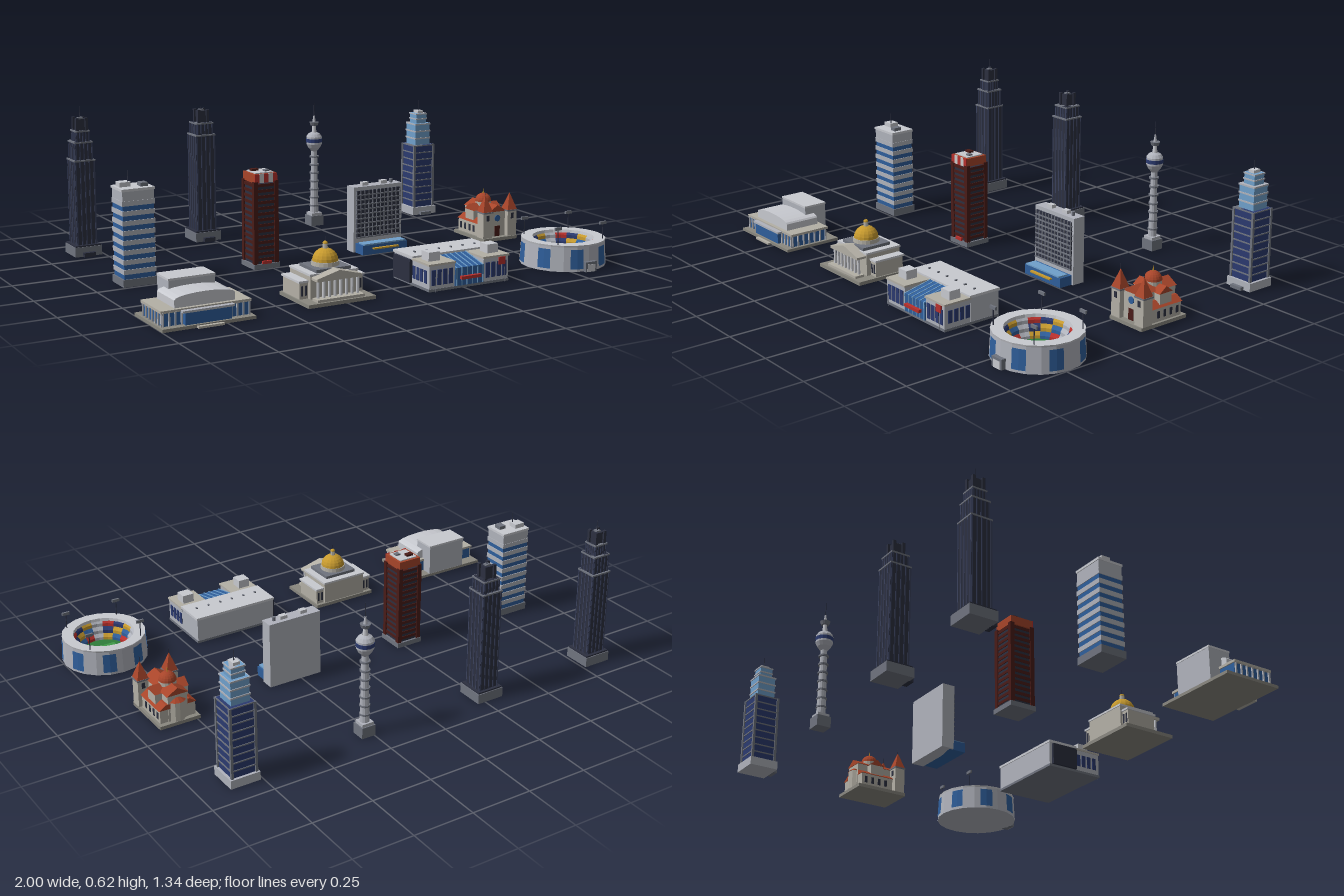
import * as THREE from 'three';

const C = { stone: 0xb4b0a6, grey: 0xb0b3bc, pale: 0xc8cad0, slate: 0x70747f, dark: 0x2c3040, navy: 0x2b3a70, blue: 0x2f5f9c, sky: 0x6fa0cc,
  brown: 0x4a1c18, rust: 0xa8452a, red: 0xb8302c, gold: 0xc79a2e, green: 0x2f7d3a, white: 0xe4e4e4, ground: 0x8a8880 };
const mats = {};
const mat = c => mats[c] ??= new THREE.MeshStandardMaterial({ color: c, flatShading: true, side: THREE.DoubleSide });

function add(g, name, geo, c, x = 0, y = 0, z = 0) {
  const m = new THREE.Mesh(geo, mat(c));
  m.name = name;
  m.position.set(x, y, z);
  g.add(m);
  return m;
}
// box standing on y0; cyl standing on y0
const box = (g, name, c, w, h, d, x = 0, y0 = 0, z = 0) => add(g, name, new THREE.BoxGeometry(w, h, d), c, x, y0 + h / 2, z);
const cyl = (g, name, c, rt, rb, h, x = 0, y0 = 0, z = 0, n = 12) => add(g, name, new THREE.CylinderGeometry(rt, rb, h, n), c, x, y0 + h / 2, z);
const dome = (g, name, c, r, x, y, z) => add(g, name, new THREE.SphereGeometry(r, 16, 6, 0, Math.PI * 2, 0, Math.PI / 2), c, x, y, z);
// outline in x,y extruded along z, centred on z
function prism(g, name, c, pts, depth, x, y, z) {
  const s = new THREE.Shape(pts.map(p => new THREE.Vector2(...p)));
  const geo = new THREE.ExtrudeGeometry(s, { depth, bevelEnabled: false }).translate(0, 0, -depth / 2);
  return add(g, name, geo, c, x, y, z);
}
// glazed storey block with projecting floor bands
function floors(g, glass, band, w, d, y0, y1, n, x = 0, z = 0, t = 0.3) {
  box(g, 'glazing', glass, w - 0.006, y1 - y0, d - 0.006, x, y0, z);
  const s = (y1 - y0) / n;
  for (let i = 0; i < n; i++) box(g, 'floorBand', band, w, s * t, d, x, y0 + s * (i + 1 - t), z);
}
// vertical fins on all four sides
function fins(g, c, w, y0, y1, n) {
  for (let i = 0; i < n; i++) {
    const p = (i / (n - 1) - 0.5) * (w - 0.006);
    box(g, 'fin', c, 0.005, y1 - y0, w + 0.004, p, y0);
    box(g, 'fin', c, w + 0.004, y1 - y0, 0.005, 0, y0, p);
  }
}

function steppedTower(g, c, finC, tiers, crown, mast) {
  box(g, 'base', C.slate, 0.117, 0.04, 0.117);
  box(g, 'baseCornice', C.dark, 0.11, 0.008, 0.11, 0, 0.038);
  box(g, 'entranceCanopy', C.dark, 0.05, 0.018, 0.02, 0, 0, 0.066);
  let y = 0.04;
  for (const [w, top] of tiers) {
    box(g, 'shaft', c, w, top - y, w, 0, y);
    fins(g, finC, w, y, top - 0.006, 5);
    box(g, 'parapet', C.slate, w + 0.006, 0.006, w + 0.006, 0, top - 0.006);
    y = top;
  }
  for (const x of [-1, 1]) for (const z of [-1, 1]) box(g, 'crownPost', C.dark, 0.012, crown - y, 0.012, x * 0.02, y, z * 0.02);
  box(g, 'crownCore', c, 0.036, crown - y - 0.006, 0.036, 0, y);
  box(g, 'crownCap', C.slate, 0.02, 0.012, 0.02, 0, crown - 0.012);
  cyl(g, 'mast', C.dark, 0.001, 0.002, mast - crown, 0, crown, 0, 6);
}

function tvTower(g) {
  box(g, 'base', C.slate, 0.06, 0.045, 0.06);
  box(g, 'baseRoof', C.grey, 0.05, 0.012, 0.05, 0, 0.045);
  cyl(g, 'shaft', C.grey, 0.013, 0.019, 0.3, 0, 0.05);
  for (let i = 0; i < 7; i++) cyl(g, 'shaftRing', C.slate, 0.021, 0.021, 0.007, 0, 0.085 + i * 0.037);
  const profile = [[0.013, 0.335], [0.027, 0.352], [0.035, 0.368], [0.035, 0.4], [0.026, 0.413], [0.012, 0.42]];
  add(g, 'pod', new THREE.LatheGeometry(profile.map(p => new THREE.Vector2(...p)), 14), C.grey);
  cyl(g, 'podWindows', C.navy, 0.036, 0.036, 0.016, 0, 0.376, 0, 14);
  cyl(g, 'upperShaft', C.pale, 0.007, 0.011, 0.045, 0, 0.415);
  cyl(g, 'upperDeck', C.slate, 0.021, 0.016, 0.015, 0, 0.45);
  cyl(g, 'spire', C.grey, 0.003, 0.008, 0.03, 0, 0.465);
  cyl(g, 'mast', C.dark, 0.001, 0.0025, 0.06, 0, 0.49, 0, 6);
}

function glassTower(g) {
  box(g, 'base', C.grey, 0.122, 0.035, 0.122);
  box(g, 'entranceCanopy', C.slate, 0.055, 0.014, 0.018, 0, 0, 0.068);
  floors(g, C.navy, C.slate, 0.106, 0.106, 0.035, 0.322, 9, 0, 0, 0.16);
  for (const x of [-1, 1]) for (const z of [-1, 1]) box(g, 'cornerPier', C.slate, 0.01, 0.287, 0.01, x * 0.05, 0.035, z * 0.05);
  floors(g, C.sky, C.grey, 0.082, 0.082, 0.322, 0.42, 3, 0, 0, 0.2);
  floors(g, C.sky, C.grey, 0.06, 0.06, 0.42, 0.465, 2, 0, 0, 0.25);
  box(g, 'roofBox', C.pale, 0.028, 0.012, 0.036, 0, 0.465);
  cyl(g, 'mast', C.dark, 0.001, 0.002, 0.045, 0, 0.475, 0, 6);
}

function bandedOffice(g) {
  box(g, 'base', C.slate, 0.14, 0.03, 0.112);
  floors(g, C.blue, C.grey, 0.134, 0.108, 0.03, 0.335, 8, 0, 0, 0.5);
  box(g, 'topFloors', C.grey, 0.13, 0.04, 0.104, 0, 0.335);
  box(g, 'roofEdge', C.pale, 0.136, 0.01, 0.11, 0, 0.372);
  box(g, 'plantRoom', C.pale, 0.045, 0.018, 0.04, -0.035, 0.382, -0.012);
  box(g, 'plantRoom', C.slate, 0.03, 0.014, 0.035, 0.035, 0.382, 0.012);
  cyl(g, 'mast', C.dark, 0.001, 0.002, 0.05, -0.02, 0.395, 0, 6);
}

function redTower(g) {
  box(g, 'base', C.slate, 0.116, 0.02, 0.116);
  floors(g, C.dark, C.brown, 0.104, 0.104, 0.02, 0.345, 14, 0, 0, 0.5);
  for (const x of [-1, 1]) for (const z of [-1, 1]) box(g, 'cornerPier', C.brown, 0.018, 0.335, 0.018, x * 0.046, 0.02, z * 0.046);
  box(g, 'entrance', C.red, 0.04, 0.012, 0.01, 0, 0.02, 0.056);
  box(g, 'crown', C.rust, 0.1, 0.035, 0.1, 0, 0.35);
  for (let i = 0; i < 5; i++) box(g, 'crownPanel', i % 2 ? C.white : C.red, 0.02, 0.036, 0.004, -0.04 + i * 0.02, 0.35, 0.052);
  box(g, 'roof', C.pale, 0.08, 0.004, 0.08, 0, 0.385);
  box(g, 'roofUnit', C.brown, 0.03, 0.01, 0.02, -0.018, 0.387, -0.015);
  box(g, 'roofUnit', C.slate, 0.02, 0.008, 0.02, 0.02, 0.387, 0.015);
}

function slabHotel(g) {
  box(g, 'podium', C.blue, 0.215, 0.04, 0.1, 0, 0, 0.008);
  box(g, 'podiumRoof', C.sky, 0.2, 0.006, 0.045, 0, 0.04, 0.036);
  box(g, 'canopy', C.gold, 0.12, 0.006, 0.02, 0, 0.022, 0.062);
  box(g, 'slab', C.grey, 0.232, 0.276, 0.055, 0, 0, -0.03);
  box(g, 'windowWall', C.dark, 0.212, 0.2, 0.012, 0, 0.06, -0.004);
  for (let i = 0; i < 10; i++) box(g, 'balcony', C.slate, 0.216, 0.005, 0.018, 0, 0.06 + i * 0.02, -0.002);
  for (let i = 0; i < 12; i++) box(g, 'mullion', C.slate, 0.004, 0.2, 0.016, -0.104 + i * 0.0189, 0.06, -0.003);
  for (const x of [-0.05, 0.04]) box(g, 'roofUnit', C.pale, 0.03, 0.014, 0.022, x, 0.276, -0.03);
  cyl(g, 'roofVent', C.slate, 0.007, 0.007, 0.016, 0.08, 0.276, -0.03);
}

function cathedral(g) {
  box(g, 'plinth', C.ground, 0.172, 0.014, 0.09, 0, 0, 0.07);
  box(g, 'rearPlinth', C.ground, 0.172, 0.014, 0.15, 0, 0, -0.04);
  box(g, 'aisles', C.stone, 0.15, 0.055, 0.15, 0, 0.014, -0.02);
  prism(g, 'aisleRoof', C.rust, [[-0.08, 0], [0.08, 0], [0.05, 0.02], [-0.05, 0.02]], 0.155, 0, 0.069, -0.02);
  box(g, 'nave', C.stone, 0.082, 0.11, 0.185, 0, 0.014, -0.005);
  prism(g, 'naveRoof', C.rust, [[-0.046, 0], [0.046, 0], [0, 0.028]], 0.19, 0, 0.122, -0.005);
  box(g, 'transept', C.stone, 0.14, 0.105, 0.06, 0, 0.014, -0.02);
  prism(g, 'transeptRoof', C.rust, [[-0.034, 0], [0.034, 0], [0, 0.026]], 0.144, 0, 0.118, -0.02).rotation.y = Math.PI / 2;
  cyl(g, 'apse', C.stone, 0.036, 0.036, 0.08, 0, 0.014, -0.08);
  cyl(g, 'apseRoof', C.rust, 0, 0.039, 0.03, 0, 0.094, -0.08);
  cyl(g, 'domeDrum', C.stone, 0.034, 0.034, 0.02, 0, 0.132, -0.02, 16);
  dome(g, 'dome', C.rust, 0.035, 0, 0.15, -0.02);
  cyl(g, 'domeFinial', C.gold, 0.001, 0.003, 0.02, 0, 0.183, -0.02, 6);
  for (const s of [-1, 1]) {
    box(g, 'tower', C.stone, 0.046, 0.11, 0.046, s * 0.063, 0.014, 0.086);
    box(g, 'towerCornice', C.slate, 0.052, 0.006, 0.052, s * 0.063, 0.122, 0.086);
    box(g, 'belfryWindow', C.dark, 0.014, 0.024, 0.05, s * 0.063, 0.09, 0.086);
    cyl(g, 'towerSpire', C.rust, 0, 0.034, 0.072, s * 0.063, 0.128, 0.086, 4).rotation.y = Math.PI / 4;
    cyl(g, 'spireFinial', C.dark, 0.001, 0.001, 0.022, s * 0.063, 0.198, 0.086, 5);
    for (let i = 0; i < 4; i++) box(g, 'aisleWindow', C.dark, 0.004, 0.028, 0.012, s * 0.075, 0.028, -0.075 + i * 0.032);
  }
  box(g, 'door', C.brown, 0.026, 0.045, 0.006, 0, 0.014, 0.087);
  cyl(g, 'roseWindow', C.blue, 0.014, 0.014, 0.006, 0, 0.09, 0.088).rotation.x = Math.PI / 2;
}

function concertHall(g) {
  box(g, 'plinth', C.ground, 0.364, 0.012, 0.25);
  box(g, 'frontSteps', C.stone, 0.1, 0.008, 0.02, 0, 0, 0.13);
  box(g, 'wings', C.blue, 0.336, 0.05, 0.17, 0, 0.012, 0.01);
  box(g, 'wingRoof', C.stone, 0.352, 0.01, 0.18, 0, 0.06, 0.01);
  for (let i = 0; i < 15; i++) box(g, 'column', C.grey, 0.006, 0.05, 0.008, -0.168 + i * 0.024, 0.012, 0.097);
  for (const s of [-1, 1]) for (let i = 0; i < 7; i++) box(g, 'sideColumn', C.grey, 0.008, 0.05, 0.006, s * 0.17, 0.012, -0.07 + i * 0.027);
  // shallow vaulted auditorium roof
  const arc = Array.from({ length: 11 }, (_, i) => [0.118 * Math.cos(i * Math.PI / 10), 0.03 + 0.02 * Math.sin(i * Math.PI / 10)]);
  prism(g, 'auditoriumVault', C.pale, [[-0.118, 0], [0.118, 0], ...arc], 0.15, 0, 0.068, 0.01);
  box(g, 'lobbyGlass', C.blue, 0.18, 0.045, 0.03, 0, 0.012, 0.1);
  box(g, 'lobbyRoof', C.grey, 0.2, 0.008, 0.04, 0, 0.057, 0.1);
  box(g, 'stageTower', C.grey, 0.182, 0.13, 0.1, 0, 0.012, -0.074);
  box(g, 'stageTowerRoof', C.pale, 0.186, 0.008, 0.104, 0, 0.14, -0.074);
}

function capitol(g) {
  box(g, 'plinth', C.ground, 0.284, 0.014, 0.23);
  box(g, 'wings', C.stone, 0.27, 0.062, 0.13, 0, 0.014, -0.035);
  box(g, 'wingCornice', C.pale, 0.28, 0.008, 0.14, 0, 0.076, -0.035);
  for (let i = 0; i < 16; i++) box(g, 'window', C.dark, 0.008, 0.038, 0.134, -0.125 + i * 0.01667, 0.026, -0.035);
  box(g, 'centralBlock', C.stone, 0.2, 0.09, 0.16, 0, 0.014, -0.03);
  box(g, 'centralCornice', C.pale, 0.206, 0.008, 0.166, 0, 0.102, -0.03);
  box(g, 'steps', C.stone, 0.2, 0.012, 0.04, 0, 0.012, 0.085);
  for (let i = 0; i < 8; i++) cyl(g, 'column', C.pale, 0.006, 0.006, 0.07, -0.084 + i * 0.024, 0.02, 0.078, 8);
  box(g, 'entablature', C.stone, 0.19, 0.01, 0.05, 0, 0.088, 0.067);
  prism(g, 'pediment', C.stone, [[-0.098, 0], [0.098, 0], [0, 0.026]], 0.05, 0, 0.098, 0.067);
  box(g, 'domePlinth', C.slate, 0.146, 0.012, 0.13, 0, 0.11, -0.018);
  cyl(g, 'domeDrum', C.stone, 0.052, 0.054, 0.018, 0, 0.12, -0.018, 20);
  dome(g, 'dome', C.gold, 0.05, 0, 0.136, -0.018);
  cyl(g, 'lantern', C.stone, 0.009, 0.011, 0.02, 0, 0.182, -0.018, 8);
  dome(g, 'lanternCap', C.gold, 0.01, 0, 0.202, -0.018);
  cyl(g, 'finial', C.dark, 0.001, 0.001, 0.02, 0, 0.21, -0.018, 5);
}

function station(g) {
  box(g, 'plinth', C.slate, 0.366, 0.01, 0.256);
  box(g, 'rearHall', C.grey, 0.362, 0.096, 0.134, 0, 0.01, -0.06);
  box(g, 'rearRoof', C.pale, 0.37, 0.01, 0.14, 0, 0.105, -0.06);
  box(g, 'sideScreen', C.dark, 0.014, 0.09, 0.12, -0.186, 0.01, -0.055);
  for (let i = 0; i < 6; i++) box(g, 'roofVent', C.slate, 0.006, 0.005, 0.01, -0.14 + i * 0.056, 0.115, -0.045);
  for (const s of [-1, 1]) {
    box(g, 'cornerBlock', C.grey, 0.115, 0.09, 0.118, s * 0.124, 0.01, 0.067);
    box(g, 'cornerRoof', C.stone, 0.122, 0.008, 0.124, s * 0.124, 0.1, 0.067);
    box(g, 'roofBox', C.pale, 0.05, 0.035, 0.05, s * 0.135, 0.108, 0.062);
    for (let i = 0; i < 4; i++) box(g, 'frontWindow', C.navy, 0.018, 0.06, 0.006, s * (0.085 + i * 0.026), 0.024, 0.126);
    for (let i = 0; i < 4; i++) box(g, 'sideWindow', C.navy, 0.006, 0.05, 0.018, s * 0.181, 0.03, 0.02 + i * 0.027);
    cyl(g, 'flagpole', C.slate, 0.001, 0.001, 0.06, s * 0.16, 0, 0.136, 5);
  }
  box(g, 'redPanel', C.red, 0.03, 0.03, 0.006, 0.15, 0.07, 0.129);
  // glazed atrium sloping down to the front
  prism(g, 'atrium', C.blue, [[-0.125, 0], [0.01, 0], [0.01, 0.1], [-0.125, 0.07]], 0.13, 0, 0.01, 0.005).rotation.y = Math.PI / 2;
  for (let i = 0; i < 6; i++) prism(g, 'atriumRib', C.sky, [[-0.127, 0], [0.01, 0], [0.01, 0.102], [-0.127, 0.072]], 0.004, -0.06 + i * 0.024, 0.01, 0.005).rotation.y = Math.PI / 2;
  box(g, 'entranceCanopy', C.red, 0.09, 0.012, 0.02, 0, 0.036, 0.135);
}

function stadium(g) {
  const ring = (name, c, pts, n = 20) => add(g, name, new THREE.LatheGeometry(pts.map(p => new THREE.Vector2(...p)), n), c);
  ring('outerWall', C.grey, [[0, 0], [0.174, 0], [0.168, 0.102]]);
  ring('roofRing', C.pale, [[0.168, 0.098], [0.17, 0.106], [0.124, 0.106], [0.122, 0.094]]);
  for (let i = 0; i < 8; i++) {
    const panel = new THREE.CylinderGeometry(0.1705, 0.175, 0.078, 2, 1, true, (i * 2.5 + 1) * Math.PI / 10, Math.PI / 10);
    add(g, 'glassPanel', panel, C.blue, 0, 0.05);
  }
  // three seating tiers in alternating coloured sectors
  const seats = [C.red, C.blue, C.gold, C.navy];
  for (let t = 0; t < 3; t++) for (let i = 0; i < 16; i++) {
    const r = 0.092 + t * 0.012, y = 0.02 + t * 0.026;
    const pts = [[r, y], [r + 0.001, y + 0.013], [r + 0.012, y + 0.026]].map(p => new THREE.Vector2(...p));
    add(g, 'seating', new THREE.LatheGeometry(pts, 2, i * Math.PI / 8, Math.PI / 8), i % 4 === 3 ? C.grey : seats[(i + t) % 4]);
  }
  cyl(g, 'field', C.green, 0.094, 0.094, 0.016, 0, 0.006, 0, 24);
  box(g, 'pitch', 0x3f9a48, 0.12, 0.003, 0.08, 0, 0.021);
  box(g, 'halfwayLine', C.white, 0.002, 0.001, 0.08, 0, 0.024);
  cyl(g, 'centreSpot', C.white, 0.008, 0.008, 0.001, 0, 0.024);
  box(g, 'gate', C.slate, 0.054, 0.04, 0.03, 0, 0, 0.172);
  box(g, 'gateDoor', C.pale, 0.036, 0.03, 0.004, 0, 0, 0.187);
  for (const x of [-1, 1]) for (const z of [-1, 1]) {
    cyl(g, 'lightMast', C.dark, 0.002, 0.002, 0.07, x * 0.112, 0.1, z * 0.112, 6);
    box(g, 'floodlight', C.slate, 0.032, 0.012, 0.008, x * 0.112, 0.166, z * 0.112);
  }
}

export function createModel() {
  const model = new THREE.Group();
  model.name = 'cityBuildings';
  const place = (name, x, z, build) => {
    const g = new THREE.Group();
    g.name = name;
    g.position.set(x, 0, z);
    build(g);
    model.add(g);
  };
  // back row: towers
  place('tallTower', -0.82, -0.61, g => steppedTower(g, C.dark, 0x3a415c, [[0.085, 0.4], [0.074, 0.475], [0.056, 0.52]], 0.572, 0.615));
  place('twinTower', -0.275, -0.61, g => steppedTower(g, C.dark, 0x3a415c, [[0.086, 0.46], [0.072, 0.51]], 0.565, 0.576));
  place('tvTower', 0.275, -0.61, tvTower);
  place('glassTower', 0.822, -0.61, glassTower);
  // middle row
  place('bandedOffice', -0.818, -0.066, bandedOffice);
  place('redTower', -0.273, -0.066, redTower);
  place('slabHotel', 0.277, -0.062, slabHotel);
  place('cathedral', 0.822, -0.06, cathedral);
  // front row: low public buildings
  place('concertHall', -0.818, 0.487, concertHall);
  place('capitol', -0.271, 0.48, capitol);
  place('station', 0.275, 0.49, station);
  place('stadium', 0.825, 0.482, stadium);
  return model;
}
